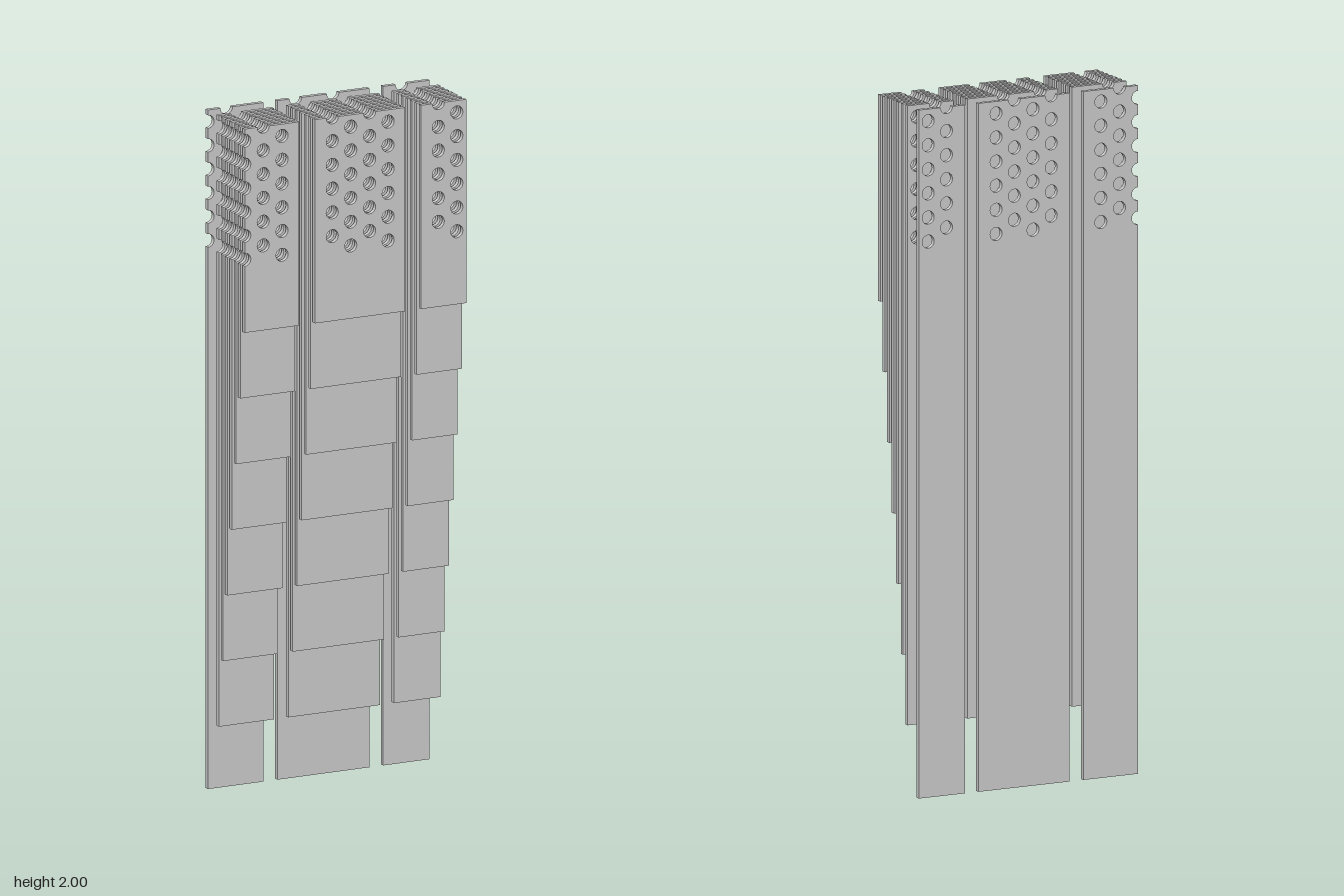
import * as THREE from 'three';

const TOP = 2, THICK = 0.0145, R = 0.0193, PITCH = 0.07, ROWS = 6;
const material = new THREE.MeshStandardMaterial({ color: 0xcccccc, flatShading: true });

// Strips across the width. "high" hole columns break the top edge, "low" ones sit half a pitch lower.
const STRIPS = [
  { name: 'rightStrip', x0: -0.353, x1: -0.177, in0: 0, in1: 0.003, high: [-0.294], low: [-0.234], scalloped: true },
  { name: 'middleStrip', x0: -0.132, x1: 0.161, in0: 0.003, in1: 0.003, high: [-0.074, 0.045], low: [-0.015, 0.104] },
  { name: 'leftStrip', x0: 0.205, x1: 0.353, in0: 0.004, in1: 0, high: [0.264], low: [0.323] },
];

const lowY = (k) => TOP - PITCH * (k + 0.5);
const highY = (k) => TOP - PITCH * k;

// One hanging panel: outline with edge notches, plus staggered round holes
function panel(strip, bottom, taper) {
  const x0 = strip.x0 + strip.in0 * taper;
  const x1 = strip.x1 - strip.in1 * taper;
  const shape = new THREE.Shape();
  shape.moveTo(x0, bottom);
  shape.lineTo(x1, bottom);
  shape.lineTo(x1, TOP);
  // half-round notches in the top edge
  for (const x of [...strip.high].reverse()) {
    shape.lineTo(x + R, TOP);
    shape.absarc(x, TOP, R, 0, Math.PI, true);
  }
  shape.lineTo(x0, TOP);
  // scallops down the outer edge
  if (strip.scalloped) {
    for (let k = 0; k < ROWS; k++) {
      shape.lineTo(x0, lowY(k) + R);
      shape.absarc(x0, lowY(k), R, Math.PI / 2, -Math.PI / 2, true);
    }
  }
  shape.closePath();

  const punch = (x, y) => shape.holes.push(new THREE.Path().absarc(x, y, R, 0, Math.PI * 2, true));
  for (const x of strip.high) for (let k = 1; k < ROWS; k++) punch(x, highY(k));
  for (const x of strip.low) for (let k = 0; k < ROWS; k++) punch(x, lowY(k));

  const geometry = new THREE.ExtrudeGeometry(shape, { depth: THICK, bevelEnabled: false, curveSegments: 10 });
  geometry.translate(0, 0, -THICK / 2);
  const mesh = new THREE.Mesh(geometry, material);
  mesh.name = strip.name;
  return mesh;
}

export function createModel() {
  const model = new THREE.Group();
  model.name = 'layeredPanels';
  // Eight layers, each shorter towards the front; the back one stands apart
  for (let i = 0; i < 8; i++) {
    const layer = new THREE.Group();
    layer.name = i === 0 ? 'backLayer' : `layer${i}`;
    layer.position.z = i === 0 ? -0.116 : 0.114 - 0.0271 * (7 - i);
    for (const strip of STRIPS) layer.add(panel(strip, 0.2 * i, i / 7));
    model.add(layer);
  }
  return model;
}
